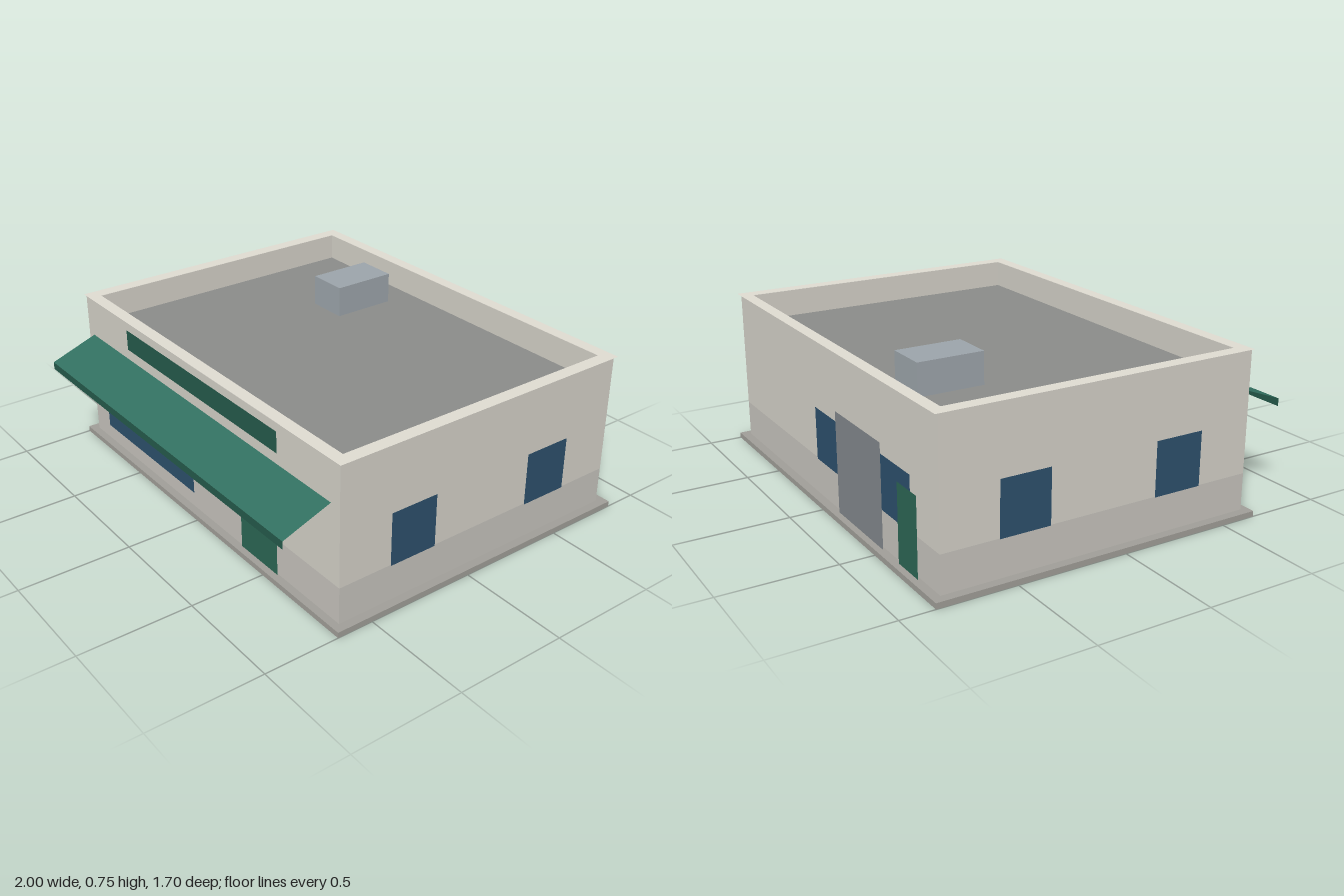
import * as THREE from 'three';

const paint = (color) => new THREE.MeshStandardMaterial({ color, side: THREE.DoubleSide, flatShading: true });
const WALL = paint(0xd2cfc6), BAND = paint(0xc4c1bb), COPING = paint(0xdedad0), SLAB = paint(0x9f9d97);
const ROOF = paint(0x8a8b89), GLASS = paint(0x2c4f6b), GREEN = paint(0x2b6553);
const SIGN = paint(0x24594a), AWNING = paint(0x327060), STEEL = paint(0x80868a), UNIT = paint(0x9ba3a9);

// Footprint of the walls and of the sunken roof
const X = 0.96, BACK = -0.81, FRONT = 0.63;
const IN_X = 0.91, IN_BACK = -0.77, IN_FRONT = 0.58;
const GROUND = 0.025, BAND_TOP = 0.19, ROOF_Y = 0.605, TOP = 0.73;

export function createModel() {
  const model = new THREE.Group();
  model.name = 'shop';

  const add = (name, geometry, material, parent = model) => {
    const mesh = new THREE.Mesh(geometry, material);
    mesh.name = name;
    parent.add(mesh);
    return mesh;
  };

  // Box given by its extents on each axis
  const block = (name, x0, x1, y0, y1, z0, z1, material) =>
    add(name, new THREE.BoxGeometry(x1 - x0, y1 - y0, z1 - z0), material)
      .position.set((x0 + x1) / 2, (y0 + y1) / 2, (z0 + z1) / 2);

  // Rectangle in plan with the roof opening cut out
  const ring = (x, z0, z1) => {
    const rect = (a, b, c) => [[-a, -c], [a, -c], [a, -b], [-a, -b]].map((p) => new THREE.Vector2(...p));
    const shape = new THREE.Shape(rect(x, z0, z1));
    shape.holes.push(new THREE.Path(rect(IN_X, IN_BACK, IN_FRONT)));
    return shape;
  };

  // Flat panel placed on a wall; u runs along the wall
  const panel = (name, side, u0, u1, y0, y1, material, gap = 0.006) => {
    const mesh = add(name, new THREE.PlaneGeometry(u1 - u0, y1 - y0), material);
    const u = (u0 + u1) / 2, y = (y0 + y1) / 2;
    if (side === 'front') mesh.position.set(u, y, FRONT + gap);
    if (side === 'back') { mesh.position.set(u, y, BACK - gap); mesh.rotation.y = Math.PI; }
    if (side === 'left') { mesh.position.set(X + gap, y, u); mesh.rotation.y = Math.PI / 2; }
    if (side === 'right') { mesh.position.set(-X - gap, y, u); mesh.rotation.y = -Math.PI / 2; }
  };

  // Ground slab and darker lower band of the walls
  block('groundSlab', -1, 1, 0, GROUND, -0.85, 0.665, SLAB);
  block('lowerWallBand', -X, X, GROUND, BAND_TOP, BACK, FRONT, BAND);

  // Upper walls with the parapet rising around the roof
  const walls = add('upperWalls', new THREE.ExtrudeGeometry(ring(X, BACK, FRONT),
    { depth: TOP - 0.002 - BAND_TOP, bevelEnabled: false }), WALL);
  walls.rotation.x = -Math.PI / 2;
  walls.position.y = BAND_TOP;

  // Thin coping on the parapet
  const coping = add('parapetCoping', new THREE.ShapeGeometry(ring(0.97, -0.825, 0.637)), COPING);
  coping.rotation.x = -Math.PI / 2;
  coping.position.y = TOP;

  // Sunken roof and the unit standing on it
  const roof = add('roof', new THREE.PlaneGeometry(2 * IN_X, IN_FRONT - IN_BACK), ROOF);
  roof.rotation.x = -Math.PI / 2;
  roof.position.set(0, ROOF_Y, (IN_FRONT + IN_BACK) / 2);
  block('roofUnit', -0.47, -0.28, ROOF_Y, 0.747, -0.63, -0.33, UNIT);

  // Shop front
  panel('displayWindow', 'front', -0.825, -0.06, 0.1, 0.43, GLASS);
  panel('frontDoor', 'front', 0.31, 0.565, GROUND, 0.41, GREEN);
  panel('signBoard', 'front', -0.575, 0.575, 0.595, 0.69, SIGN);

  // Side windows, the same on both sides
  for (const side of ['left', 'right']) {
    panel(side + 'FrontWindow', side, 0.16, 0.385, 0.19, 0.43, GLASS);
    panel(side + 'BackWindow', side, -0.56, -0.335, 0.19, 0.43, GLASS);
  }

  // Back wall
  panel('backWindow', 'back', -0.75, 0.11, 0.19, 0.425, GLASS);
  panel('serviceDoor', 'back', -0.52, -0.11, GROUND, 0.475, STEEL, 0.012);
  panel('backDoor', 'back', -0.81, -0.655, GROUND, 0.365, GREEN, 0.012);

  // Awning: sloping sheet and hanging valance along a [y, z] profile
  const awning = new THREE.Group();
  awning.name = 'awning';
  model.add(awning);
  const profile = [[0.545, FRONT + 0.003], [0.465, 0.85], [0.43, 0.85]];
  ['awningSheet', 'awningValance'].forEach((name, i) => {
    const [y0, z0] = profile[i], [y1, z1] = profile[i + 1];
    const sheet = add(name, new THREE.PlaneGeometry(1.82, Math.hypot(y1 - y0, z1 - z0)), i ? SIGN : AWNING, awning);
    sheet.rotation.x = Math.atan2(z0 - z1, y0 - y1);
    sheet.position.set(0, (y0 + y1) / 2, (z0 + z1) / 2);
  });

  return model;
}
